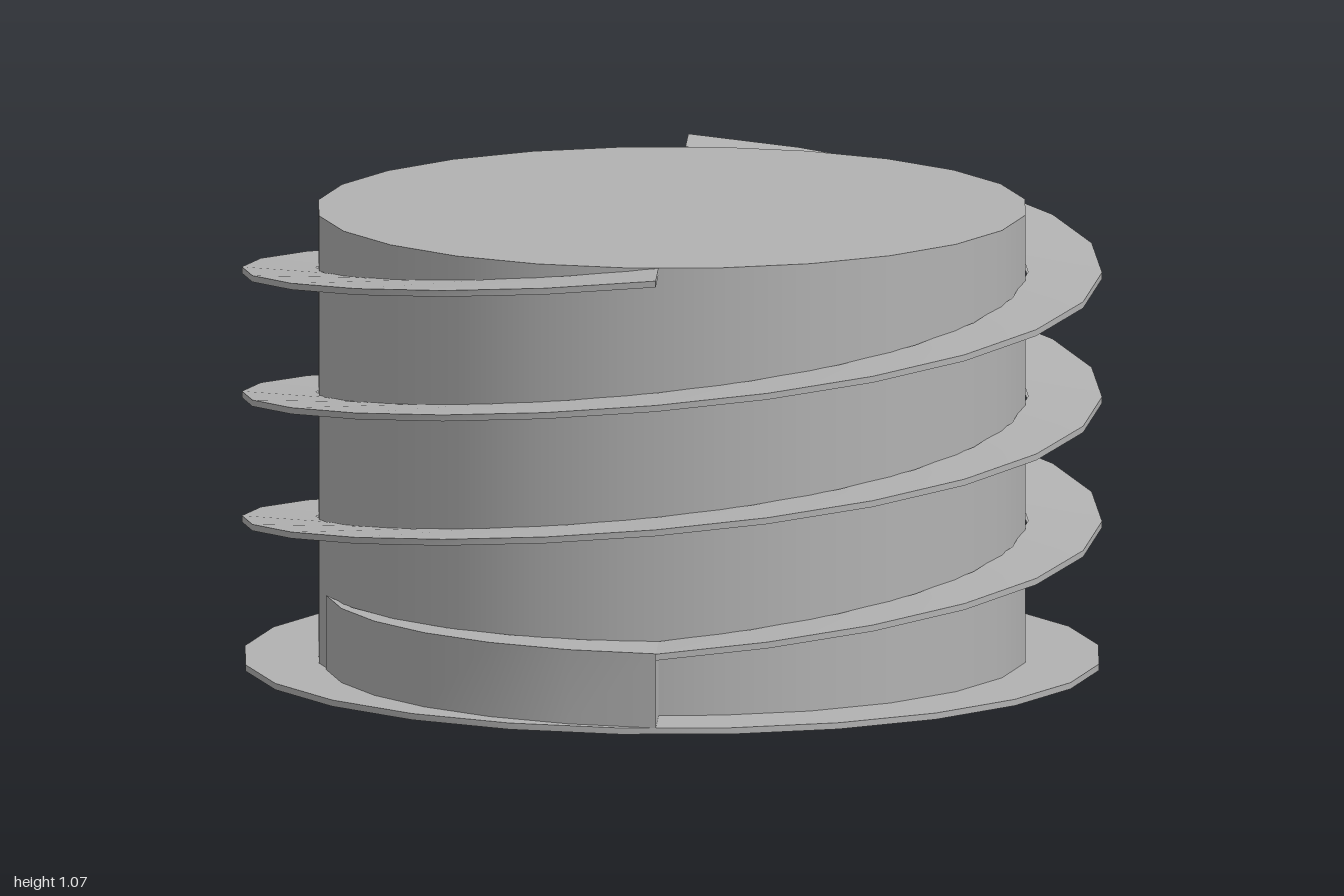
import * as THREE from 'three';
import { mergeGeometries } from 'three/addons/utils/BufferGeometryUtils.js';

const CORE = 0.828, OUTER = 1, TOP = 1.07, PLATE = 0.015, LIP = 0.19, POCKET = 0.82;
const START = 115, FADE = 189, TURN = 540; // degrees, measured from +x towards +z

const polar = (r, deg, y) => {
  const a = THREE.MathUtils.degToRad(deg);
  return [r * Math.cos(a), y, r * Math.sin(a)];
};
const mix = THREE.MathUtils.lerp;

// Grid surface through f(u, v) with u, v in 0..1
function surface(f, nu, nv = 1) {
  const pos = [], index = [];
  for (let i = 0; i <= nu; i++) for (let j = 0; j <= nv; j++) pos.push(...f(i / nu, j / nv));
  for (let i = 0; i < nu; i++) for (let j = 0; j < nv; j++) {
    const a = i * (nv + 1) + j, b = a + nv + 1;
    index.push(a, b, a + 1, b, b + 1, a + 1);
  }
  const g = new THREE.BufferGeometry();
  g.setAttribute('position', new THREE.Float32BufferAttribute(pos, 3));
  g.setIndex(index);
  g.computeVertexNormals();
  return g;
}

// Helical thread: thin rectangular section, one and a half turns
function threadGeometry() {
  const n = 36;
  const at = (r, t, drop) => polar(r, START - TURN * t, mix(LIP, TOP, t) - drop);
  const end = (t) => surface((u, v) => at(mix(CORE, OUTER, u), t, PLATE * v), 1);
  return mergeGeometries([
    surface((u, v) => at(mix(CORE, OUTER, v), u, 0), n),
    surface((u, v) => at(mix(OUTER, CORE, v), u, PLATE), n),
    surface((u, v) => at(OUTER, u, PLATE * v), n),
    end(0), end(1),
  ]);
}

// Lead-in collar: widens from the core out to the thread start
function collarGeometry() {
  const n = 6;
  const angle = (u) => mix(FADE, START, u), radius = (u) => mix(CORE, OUTER - 0.005, u);
  return mergeGeometries([
    surface((u, v) => polar(mix(CORE, radius(u), v), angle(u), LIP), n),
    surface((u, v) => polar(radius(u), angle(u), mix(LIP, PLATE, v)), n),
    surface((u, v) => polar(mix(CORE, radius(1), u), START, mix(PLATE, LIP, v)), 1),
  ]);
}

// Half of the underside: a ramped recess closed by a curved wall, then a flat part
function recessGeometry() {
  const from = FADE - 180, depth = LIP - 0.005;
  const radius = (v) => mix(0.01, POCKET, v);
  const wallAngle = (v) => START + 2 + 58 * (1 - v);
  return mergeGeometries([
    surface((u, v) => polar(radius(v), mix(from, wallAngle(v), u), depth * u), 8, 8),
    surface((u, v) => polar(radius(v), mix(wallAngle(v), FADE, u), 0), 5, 8),
    surface((u, v) => polar(radius(u), wallAngle(u), depth * v), 8),
    surface((u, v) => polar(POCKET, mix(from, wallAngle(1), u), depth * u * v), 8),
  ]);
}

export function createModel() {
  const group = new THREE.Group();
  const grey = new THREE.MeshStandardMaterial({ color: 0xb2b2b2, side: THREE.DoubleSide });
  grey.name = 'grey';
  const add = (name, geometry) => {
    const mesh = new THREE.Mesh(geometry, grey);
    mesh.name = name;
    group.add(mesh);
    return mesh;
  };

  // Round body with a flat top
  add('coreWall', new THREE.CylinderGeometry(CORE, CORE, TOP, 24, 1, true)).position.y = TOP / 2;
  add('coreTop', new THREE.CircleGeometry(CORE, 24).rotateX(-Math.PI / 2)).position.y = TOP;

  // Thin flange around the foot
  const ring = (y) => surface((u, v) => polar(mix(POCKET - 0.002, OUTER, y ? v : 1 - v), -360 * u, y), 24);
  add('baseFlange', mergeGeometries([
    ring(PLATE), ring(0),
    surface((u, v) => polar(OUTER, -360 * u, PLATE * v), 24),
  ]));

  // Two-start thread: every piece repeats half a turn apart
  const parts = { thread: threadGeometry(), threadCollar: collarGeometry(), undersideRecess: recessGeometry() };
  for (const [name, geometry] of Object.entries(parts)) {
    add(name + 'Front', geometry);
    add(name + 'Back', geometry).rotation.y = Math.PI;
  }
  return group;
}
